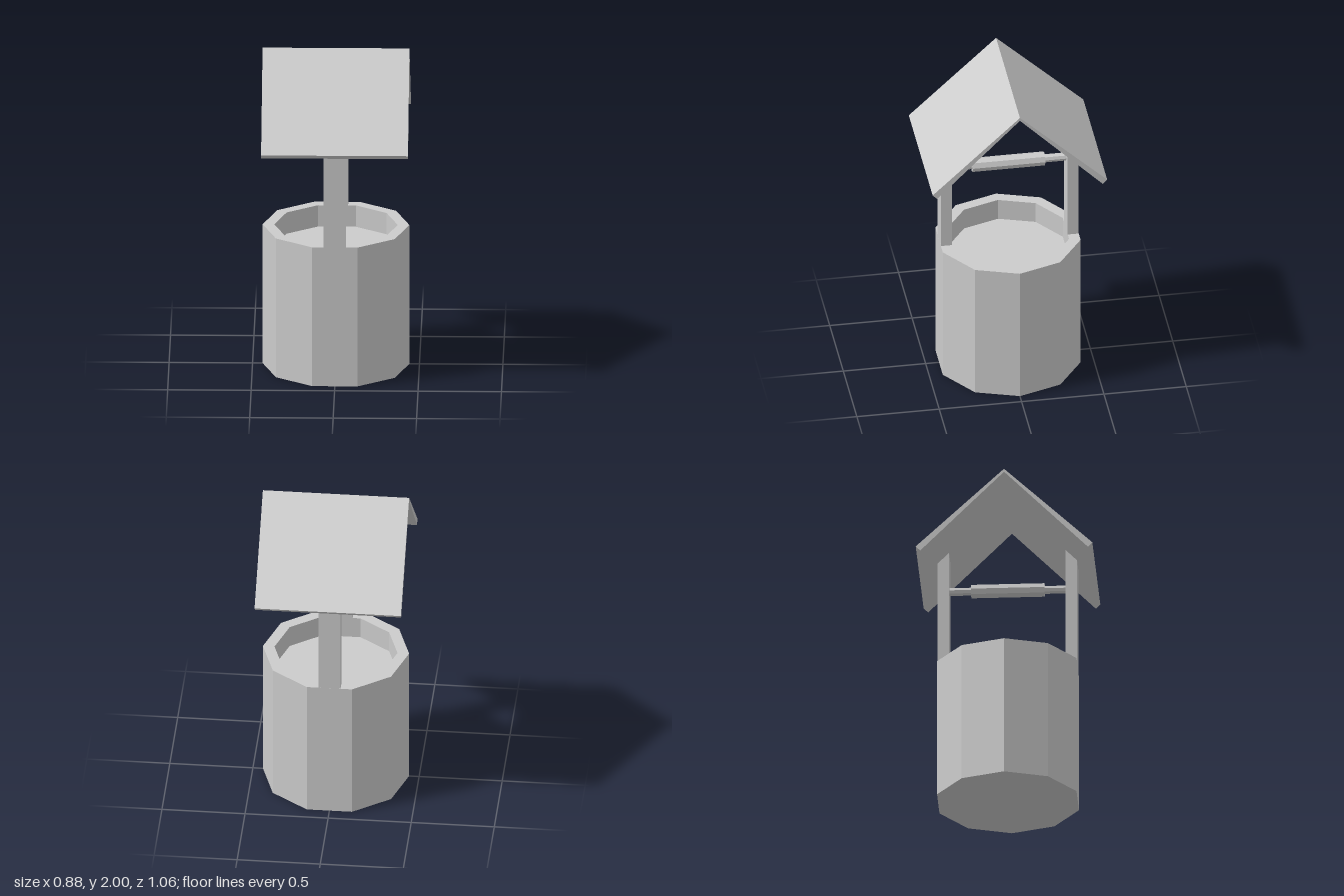
import * as THREE from 'three';

const material = new THREE.MeshStandardMaterial({ color: 0xcccccc, flatShading: true });

export function createModel() {
  const model = new THREE.Group();
  model.name = 'well';

  const add = (name, geometry) => {
    const mesh = new THREE.Mesh(geometry, material);
    mesh.name = name;
    model.add(mesh);
    return mesh;
  };

  // Extrudes a side outline, given as [z, y] points, across the width in x
  const sideProfile = (points, width) => {
    const shape = new THREE.Shape(points.map(([z, y]) => new THREE.Vector2(z, y)));
    return new THREE.ExtrudeGeometry(shape, { depth: width, bevelEnabled: false })
      .translate(0, 0, -width / 2)
      .rotateY(-Math.PI / 2);
  };

  // Ten-sided wall with a rim and a recessed water level
  const wall = [[0, 0], [0.44, 0], [0.44, 0.88], [0.37, 0.88], [0.37, 0.745], [0, 0.745]];
  add('wall', new THREE.LatheGeometry(
    wall.map(([r, y]) => new THREE.Vector2(r, y)), 10, Math.PI / 2));

  // Posts on the front and back rim, cut to the roof slope
  const postOutline = [[0.35, 0.88], [0.418, 0.88], [0.418, 1.575], [0.35, 1.645]];
  for (const [name, turn] of [['frontPost', 0], ['backPost', Math.PI]]) {
    add(name, sideProfile(postOutline, 0.134)).rotation.y = turn;
  }

  // Gabled roof, thinner at the ridge than at the eaves
  add('roof', sideProfile([
    [0, 2], [-0.53, 1.5], [-0.503, 1.472], [0, 1.98], [0.503, 1.472], [0.53, 1.5],
  ], 0.88));

  // Axle between the posts with a thicker rope drum
  for (const [name, radius, length] of [['axle', 0.025, 0.704], ['drum', 0.043, 0.44]]) {
    add(name, new THREE.CylinderGeometry(radius, radius, length, 8)
      .rotateX(Math.PI / 2)
      .translate(0, 1.398, 0));
  }

  return model;
}
